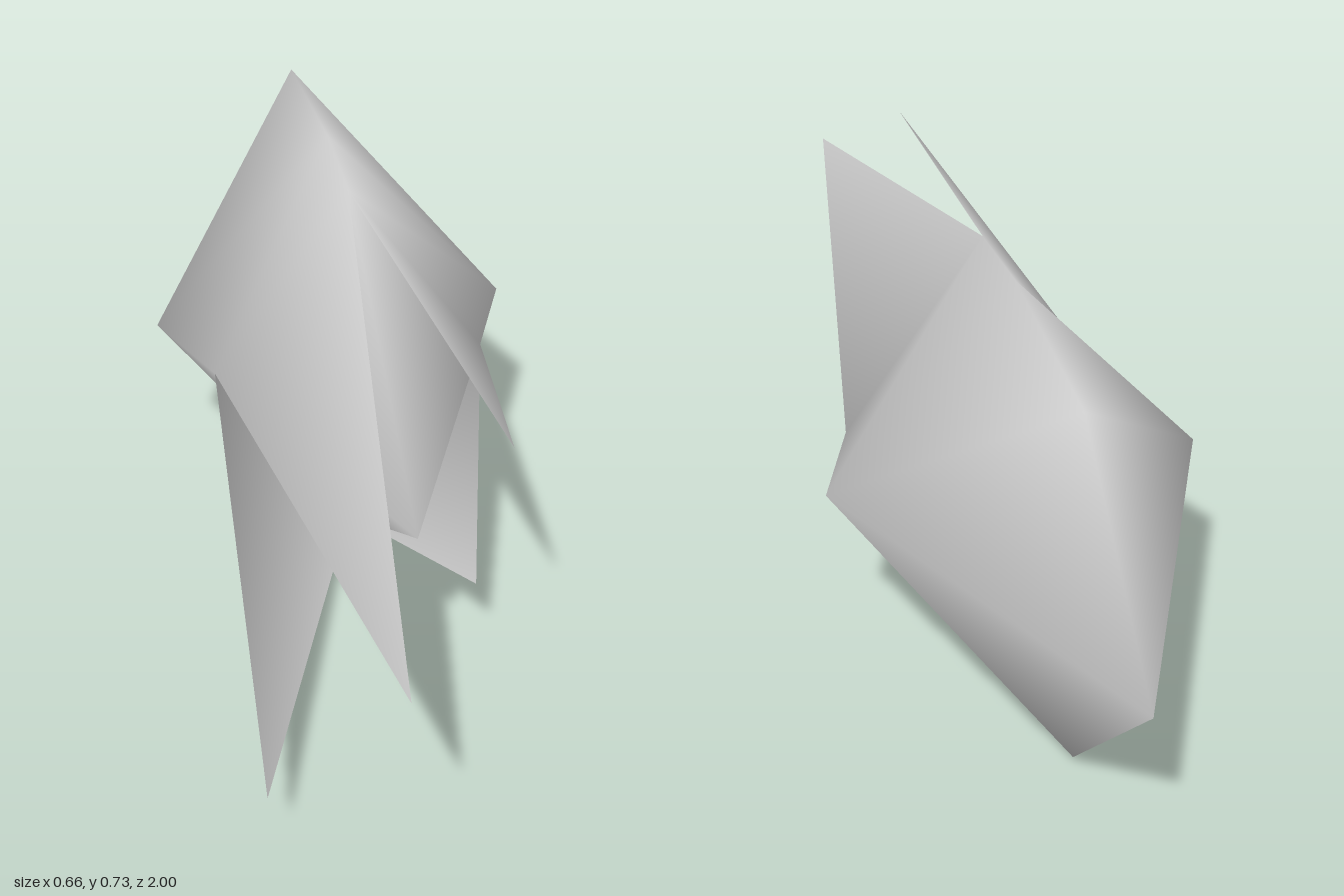
import * as THREE from 'three';

export function createModel() {
  const grey = new THREE.MeshStandardMaterial({ color: 0xcccccc, side: THREE.DoubleSide });
  grey.name = 'pale grey';
  const mid = 0.365;

  // Shared corners; every ring runs right, top, left, bottom seen from +z
  const points = [];
  const add = (x, y, z) => points.push(x, y, z) / 3 - 1;
  const tail = add(0, mid, -1);
  const shoulder = [
    add(0.33, mid, -0.28), add(0, 0.73, -0.28),
    add(-0.33, mid, -0.28), add(0, 0, -0.28),
  ];
  // The rear ring has its own crown and keel but shares the wide side corners
  const rear = [shoulder[0], add(0, 0.69, -0.65), shoulder[2], add(0, 0.01, -0.64)];
  const mouth = [
    add(0.25, mid, -0.09), add(0, 0.717, -0.09),
    add(-0.25, mid, -0.09), add(0, 0.008, -0.09),
  ];
  const coreTip = add(0, mid, 0.48);
  const spikeTips = [
    add(0.125, 0.61, 0.6), add(-0.13, 0.465, 1),
    add(-0.315, 0.145, 0.81), add(0.135, 0.16, 0.36),
  ];

  const parts = { hull: [], core: [] };
  const face = (list, a, b, c) => {
    if (a !== b && b !== c && a !== c) list.push(a, b, c);
  };
  const band = (back, front, i, j) => {
    face(parts.hull, back[i], back[j], front[j]);
    face(parts.hull, back[i], front[j], front[i]);
  };

  // Faceted hull, inner core pyramid and four uneven spikes, by quadrant
  const spikeNames = ['upperLeftSpike', 'upperRightSpike', 'lowerRightSpike', 'lowerLeftSpike'];
  for (let i = 0; i < 4; i++) {
    const j = (i + 1) % 4;
    face(parts.hull, tail, rear[j], rear[i]);
    band(rear, shoulder, i, j);
    band(shoulder, mouth, i, j);
    face(parts.core, mouth[i], mouth[j], coreTip);
    parts[spikeNames[i]] = [mouth[i], mouth[j], spikeTips[i]];
  }

  // Smooth normals are shared across all parts
  const whole = new THREE.BufferGeometry();
  whole.setAttribute('position', new THREE.Float32BufferAttribute(points, 3));
  whole.setIndex(Object.values(parts).flat());
  whole.computeVertexNormals();

  const group = new THREE.Group();
  group.name = 'spikedPod';
  for (const [name, index] of Object.entries(parts)) {
    const geometry = new THREE.BufferGeometry();
    geometry.setAttribute('position', whole.getAttribute('position'));
    geometry.setAttribute('normal', whole.getAttribute('normal'));
    geometry.setIndex(index);
    const mesh = new THREE.Mesh(geometry, grey);
    mesh.name = name;
    group.add(mesh);
  }
  return group;
}
